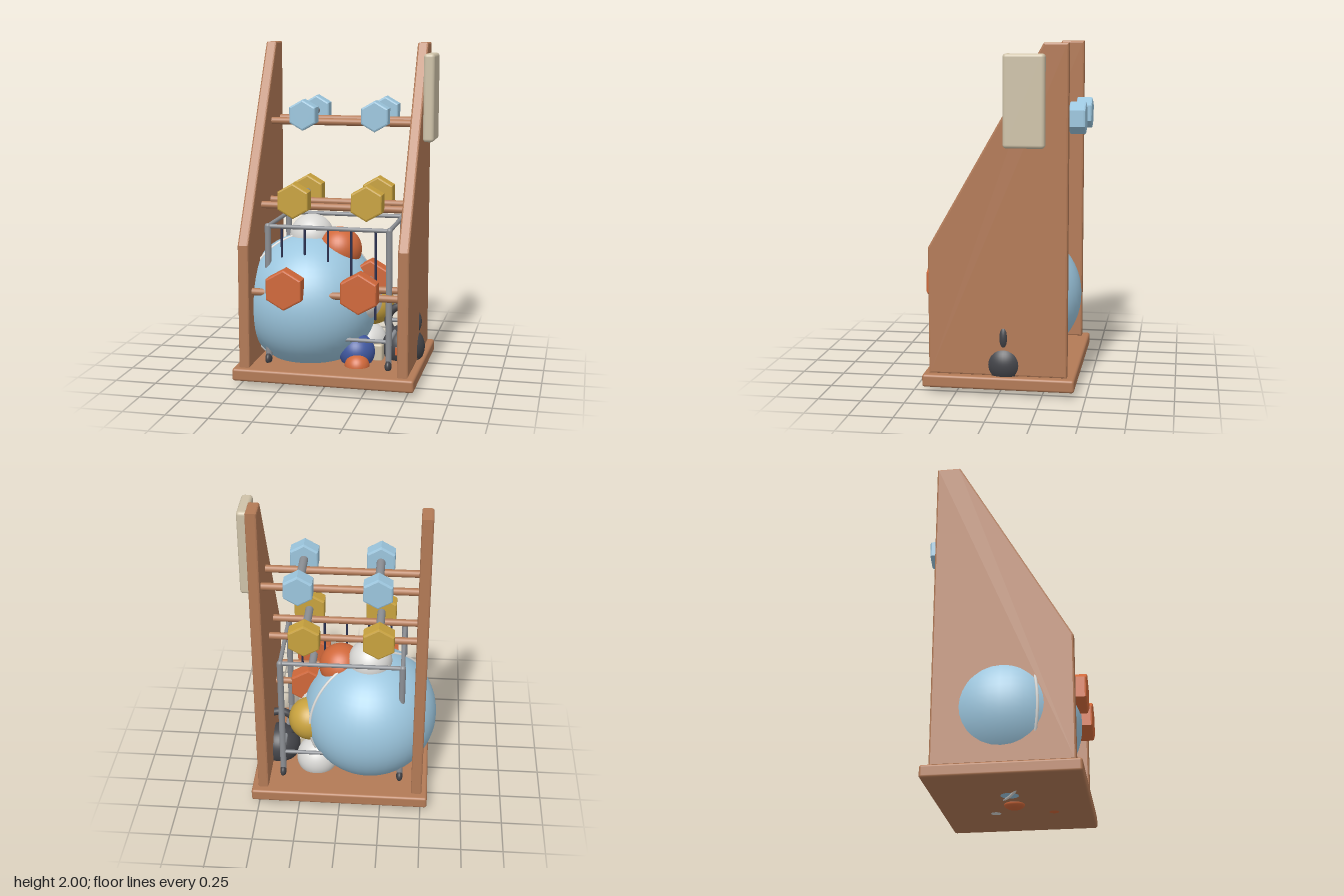
import * as THREE from 'three';
import { RoundedBoxGeometry } from 'three/addons/geometries/RoundedBoxGeometry.js';

const mat = (name, color) => {
  const m = new THREE.MeshStandardMaterial({ color });
  m.name = name;
  return m;
};

export function createModel() {
  const root = new THREE.Group();
  root.name = 'gymRack';
  const wood = mat('wood', 0xb37a56), sky = mat('skyBlue', 0x9cc6de), mustard = mat('mustard', 0xc8a23e),
    orange = mat('orange', 0xd0683a), steel = mat('steel', 0x8c8f94), rubber = mat('rubber', 0x434449),
    royal = mat('royalBlue', 0x4058a0), cord = mat('navyCord', 0x2a3050),
    cream = mat('cream', 0xcec2a8), white = mat('white', 0xd9d8d5);

  const add = (name, geo, material, x = 0, y = 0, z = 0, parent = root) => {
    const m = new THREE.Mesh(geo, material);
    m.name = name;
    m.position.set(x, y, z);
    parent.add(m);
    return m;
  };
  const box = (name, material, w, h, d, r, x, y, z) =>
    add(name, new RoundedBoxGeometry(w, h, d, 3, r), material, x, y, z);
  const ball = (name, material, r, x, y, z, sx = 1, sy = 1, sz = 1) => {
    const m = add(name, new THREE.SphereGeometry(r, 40, 28), material, x, y, z);
    m.scale.set(sx, sy, sz);
    return m;
  };
  // Round bar between two points
  const bar = (name, material, r, a, b, parent = root) => {
    const p = new THREE.Vector3(...a), q = new THREE.Vector3(...b);
    const m = add(name, new THREE.CylinderGeometry(r, r, p.distanceTo(q), 16), material, 0, 0, 0, parent);
    m.position.copy(p).add(q).multiplyScalar(0.5);
    m.quaternion.setFromUnitVectors(new THREE.Vector3(0, 1, 0), q.sub(p).normalize());
    return m;
  };

  // Base and sloped side panels
  box('base', wood, 1.085, 0.075, 0.88, 0.015, 0.002, 0.068, 0.005);
  const profile = new THREE.Shape([[-0.4, 0.115], [0.38, 0.115], [0.38, 1.99], [0.257, 1.99], [-0.4, 0.84]]
    .map(([z, y]) => new THREE.Vector2(z, y)));
  const panelGeo = new THREE.ExtrudeGeometry(profile, {
    depth: 0.045, bevelThickness: 0.01, bevelSize: 0.01, bevelSegments: 2,
  });
  panelGeo.translate(0, 0, -0.0225).rotateY(Math.PI / 2);
  for (const s of [-1, 1]) add(s > 0 ? 'leftPanel' : 'rightPanel', panelGeo, wood, s * 0.4735, 0, 0);

  // Pad on the outside of the left panel
  box('sidePad', cream, 0.066, 0.52, 0.235, 0.02, 0.542, 1.682, -0.148);

  // Three tiers: two rails each, carrying two hexagonal dumbbells
  const tiers = [
    { y: 1.522, z: -0.235, r: 0.094, m: sky, half: 0.182 },
    { y: 1.037, z: 0.005, r: 0.107, m: mustard, half: 0.183 },
    { y: 0.552, z: 0.23, r: 0.122, m: orange, half: 0.183 },
  ];
  for (const t of tiers) {
    for (const s of [-1, 1]) bar('rail', wood, 0.022, [-0.45, t.y, t.z + s * 0.1], [0.45, t.y, t.z + s * 0.1]);
    const hex = new THREE.Shape();
    for (let i = 0; i < 6; i++) {
      const a = Math.PI / 6 + i * Math.PI / 3, r = t.r - 0.012;
      hex[i ? 'lineTo' : 'moveTo'](r * Math.cos(a), r * Math.sin(a));
    }
    const headGeo = new THREE.ExtrudeGeometry(hex, {
      depth: 0.076, bevelThickness: 0.01, bevelSize: 0.01, bevelSegments: 2,
    });
    headGeo.translate(0, 0, -0.038);
    for (const x of [-0.219, 0.223]) {
      const d = new THREE.Group();
      d.name = 'dumbbell';
      d.position.set(x, t.y + 0.048, t.z);
      bar('handle', steel, 0.025, [0, 0, -t.half], [0, 0, t.half], d);
      for (const s of [-1, 1]) add('dumbbellHead', headGeo, t.m, 0, 0, s * t.half, d);
      root.add(d);
    }
  }

  // Exercise ball with its seam
  ball('exerciseBall', sky, 0.415, -0.165, 0.442, 0.005);
  const seam = add('ballSeam', new THREE.TorusGeometry(0.415, 0.009, 8, 72), white, -0.165, 0.442, 0.005);
  seam.rotation.y = 0.51;

  // Smaller balls piled around it
  ball('topWhiteBall', white, 0.135, -0.162, 0.835, -0.02);
  ball('topOrangeBall', orange, 0.135, 0.02, 0.768, 0.02);
  ball('yellowBall', mustard, 0.135, 0.205, 0.42, -0.08);
  ball('middleWhiteBall', white, 0.13, 0.16, 0.47, 0.06);
  ball('floorWhiteBall', white, 0.13, 0.16, 0.157, -0.12);
  ball('floorBlueBall', royal, 0.11, 0.15, 0.165, 0.13);
  ball('floorOrangeBall', orange, 0.075, 0.17, 0.1, 0.22);
  ball('baseKnob', orange, 0.06, 0, 0.03, 0.01, 1, 0.5, 1);
  box('floorBlock', cream, 0.06, 0.11, 0.1, 0.015, 0.27, 0.15, 0.05);

  // Kettlebell
  ball('kettlebellBody', rubber, 0.13, 0.41, 0.17, -0.025);
  add('kettlebellHandle', new THREE.TorusGeometry(0.092, 0.024, 14, 40), rubber, 0.405, 0.33, -0.025);
  box('kettlebellBadge', orange, 0.05, 0.05, 0.008, 0.003, 0.405, 0.172, 0.106);

  // Steel frame with casters
  const X = 0.365, zs = [-0.237, 0.25], top = 0.935;
  for (const z of zs) {
    bar('frameTopBar', steel, 0.013, [-X, top, z], [X, top, z]);
    bar('frameLowBar', steel, 0.012, [-X, 0.27, z], [X, 0.27, z]);
    for (const x of [-X, X]) {
      bar('framePost', steel, 0.019, [x, 0.11, z], [x, top, z]);
      ball('frameCorner', steel, 0.019, x, top, z);
      ball('caster', rubber, 0.035, x, 0.125, z + Math.sign(z) * 0.01, 0.57, 1, 1);
    }
  }
  for (const x of [-X, X]) for (const y of [0.27, top])
    bar('frameSideBar', steel, 0.013, [x, y, zs[0]], [x, y, zs[1]]);

  // Cords hanging from the front bar
  [[-0.28, 0.75], [-0.14, 0.765], [0, 0.735], [0.14, 0.62], [0.285, 0.4]].forEach(([x, y]) =>
    bar('cord', cord, 0.007, [x, top - 0.01, 0.25], [x, y, 0.25]));

  return root;
}
